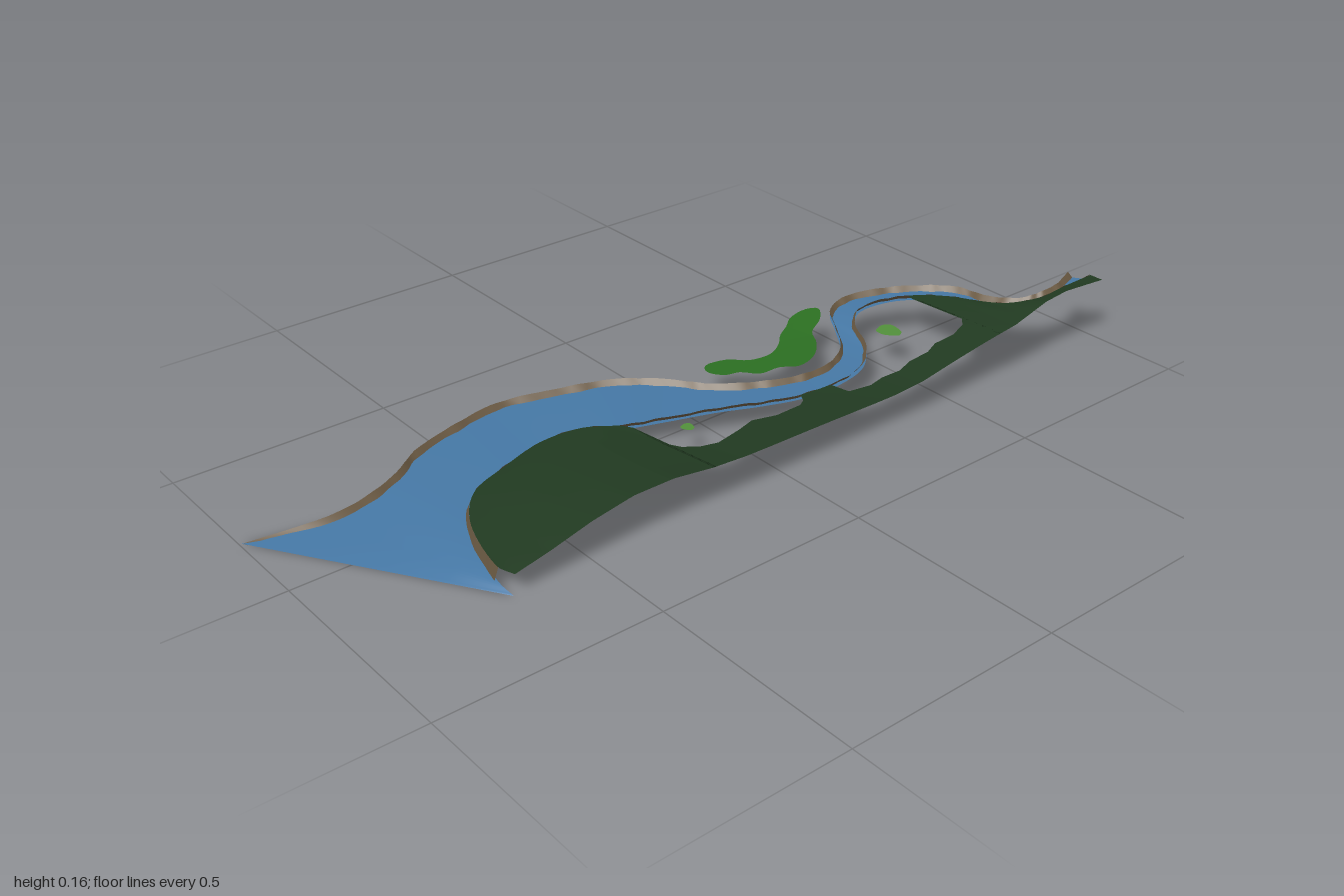
import * as THREE from 'three';

const paint = (name, color) => {
  const m = new THREE.MeshStandardMaterial({ color, side: THREE.DoubleSide });
  m.name = name;
  return m;
};

// River rows from source to mouth: left x, left z, right x, right z, water height
const ROWS = [
  [.205, -.97, .25, -1, .138], [.23, -.9, .25, -.9, .137], [.225, -.85, .245, -.83, .13],
  [.2, -.81, .2, -.765, .118], [.125, -.78, .135, -.745, .105], [.04, -.77, .07, -.72, .1],
  [-.025, -.72, .01, -.675, .096], [-.08, -.645, -.035, -.605, .092], [-.115, -.55, -.045, -.525, .086],
  [-.1, -.485, 0, -.47, .078], [-.035, -.44, .07, -.435, .07], [.04, -.385, .13, -.37, .064],
  [.075, -.315, .15, -.28, .06], [.07, -.235, .14, -.18, .056], [.03, -.145, .105, -.09, .053],
  [-.035, -.06, .06, 0, .05], [-.12, 0, .015, .115, .047], [-.195, .085, -.02, .2, .045],
  [-.245, .2, -.07, .265, .04], [-.285, .335, -.085, .36, .035], [-.27, .45, -.05, .48, .032],
  [-.235, .575, -.01, .575, .028], [-.18, .665, .08, .645, .024], [-.15, .8, .24, .69, .012],
  [-.2, .995, .285, .685, 0],
];
const LAST = ROWS.length - 1;
const curve = (xi, zi) => new THREE.CatmullRomCurve3(ROWS.map(r => new THREE.Vector3(r[xi], r[4], r[zi])));
const leftEdge = curve(0, 1), rightEdge = curve(2, 3);

// Piecewise linear lookup in [key, value] pairs
function lookup(pairs, k) {
  if (k <= pairs[0][0]) return pairs[0][1];
  for (let i = 1; i < pairs.length; i++) {
    const [a, va] = pairs[i - 1], [b, vb] = pairs[i];
    if (k <= b) return va + (vb - va) * (k - a) / (b - a || 1);
  }
  return pairs[pairs.length - 1][1];
}

// Surface through rows of points; rows run towards +z, columns towards +x
function sheet(rows) {
  const cols = rows[0].length, index = [];
  for (let i = 0; i < rows.length - 1; i++) {
    for (let j = 0; j < cols - 1; j++) {
      const a = i * cols + j, b = a + cols;
      index.push(a, b, a + 1, a + 1, b, b + 1);
    }
  }
  const g = new THREE.BufferGeometry();
  g.setAttribute('position', new THREE.Float32BufferAttribute(rows.flat().flatMap(p => [p.x, p.y, p.z]), 3));
  g.setIndex(index);
  g.computeVertexNormals();
  return g;
}

const wobble = t => Math.sin(t * 190) * .5 + Math.sin(t * 317 + 1) * .3 + Math.sin(t * 83 + 2) * .2;
const bankRise = y => Math.max(.012, .046 - y);

// Strip from the water up to the ground on one side of the river
function bankGeometry(side, tEnd) {
  const rows = [], n = 170;
  for (let i = 0; i <= n; i++) {
    const t = tEnd * i / n;
    const l = leftEdge.getPoint(t), r = rightEdge.getPoint(t);
    const edge = side < 0 ? l : r;
    const inward = r.clone().sub(l).setY(0).normalize().multiplyScalar(-side);
    const foot = edge.clone().addScaledVector(inward, .012 + .003 * wobble(t));
    foot.y -= .001;
    const top = edge.clone().addScaledVector(inward, .002 * wobble(t + .3));
    const fade = Math.min(1, (1 - t) * LAST);
    top.y += side < 0 ? .012 * fade + .002 * wobble(t) * fade : bankRise(edge.y) + .001 * wobble(t);
    rows.push(side < 0 ? [top, foot] : [foot, top]);
  }
  return sheet(rows);
}

// Ground height: from the right bank's top up to the straight outer border
const OUTER = .285;
const BORDER = [
  [-1, .15], [-.87, .16], [-.8, .154], [-.7, .127], [-.6, .115], [-.5, .1], [-.4, .083], [-.3, .078],
  [-.1, .083], [.1, .086], [.2, .093], [.3, .107], [.4, .107], [.5, .09], [.6, .064], [.69, .045],
];
const shore = rightEdge.getPoints(200).filter(p => p.x < .25 || p.z < .6);
const shoreX = shore.map(p => [p.z, p.x]);
const shoreY = shore.map(p => [p.z, p.y + bankRise(p.y)]);
function groundHeight(x, z) {
  const x0 = lookup(shoreX, z);
  const s = THREE.MathUtils.clamp((x - x0) / Math.max(.02, OUTER - x0), 0, 1);
  return THREE.MathUtils.lerp(lookup(shoreY, z), lookup(BORDER, z), s);
}

// Inner borders of the two clearings, as [x, z]
const UPPER_CLEARING = [
  [.01, -.645], [.045, -.652], [.09, -.651], [.14, -.65], [.17, -.645], [.19, -.625], [.205, -.58], [.2, -.525],
  [.212, -.49], [.205, -.44], [.214, -.4], [.208, -.35], [.215, -.31], [.203, -.255], [.155, -.25],
];
const LOWER_CLEARING = [
  [.14, -.17], [.165, -.155], [.177, -.135], [.18, -.065], [.162, -.01], [.178, .04],
  [.195, .11], [.185, .15], [.16, .18], [.11, .198], [.05, .195], [.01, .19], [-.015, .2],
];
function forestGeometry() {
  const along = (a, b) => shore.filter(p => p.z > a && p.z < b).map(p => [p.x, p.z]);
  const inner = [
    ...along(-1.01, -.65), ...UPPER_CLEARING, ...along(-.245, -.175), ...LOWER_CLEARING, ...along(.205, .7),
  ];
  const cols = 10;
  return sheet(inner.map(([x, z], i) => {
    const row = [];
    const zOut = Math.min(z, .68);
    for (let j = 0; j <= cols; j++) {
      const s = j / cols, px = x + (OUTER - x) * s, pz = z + (zOut - z) * s;
      row.push(new THREE.Vector3(px, groundHeight(px, pz), pz));
    }
    return row;
  }));
}

// Smooth outlined patch laid on a height rule
function patchGeometry(points, height) {
  const outline = new THREE.CatmullRomCurve3(points.map(([x, z]) => new THREE.Vector3(x, -z, 0)), true);
  const shape = new THREE.Shape(outline.getPoints(points.length * 4).slice(0, -1).map(p => new THREE.Vector2(p.x, p.y)));
  const g = new THREE.ShapeGeometry(shape).rotateX(-Math.PI / 2);
  const p = g.attributes.position;
  for (let i = 0; i < p.count; i++) p.setY(i, height(p.getX(i), p.getZ(i)));
  g.computeVertexNormals();
  return g;
}
function blob(cx, cz, rx, rz) {
  return Array.from({ length: 9 }, (_, i) => {
    const a = i / 9 * Math.PI * 2, k = 1 + .1 * Math.sin(a * 3 + 1);
    return [cx + Math.cos(a) * rx * k, cz - Math.sin(a) * rz * k];
  });
}

export function createModel() {
  const group = new THREE.Group();
  const water = paint('water blue', 0x4577a4);
  const earth = paint('bank brown', 0x6b5a43);
  const forest = paint('forest green', 0x213a21);
  const meadow = paint('meadow green', 0x2b6e21);
  const grass = paint('light grass green', 0x528f3a);
  const add = (name, geometry, material) => {
    const mesh = new THREE.Mesh(geometry, material);
    mesh.name = name;
    group.add(mesh);
  };

  // Water surface
  const rows = [];
  for (let i = 0; i <= 150; i++) {
    const l = leftEdge.getPoint(i / 150), r = rightEdge.getPoint(i / 150);
    rows.push([0, .25, .5, .75, 1].map(s => l.clone().lerp(r, s)));
  }
  add('river', sheet(rows), water);

  // Banks
  add('leftHandBank', bankGeometry(-1, 1), earth);
  add('rightHandBank', bankGeometry(1, (LAST - .9) / LAST), earth);

  // Wooded slope with two clearings
  add('forestSlope', forestGeometry(), forest);

  // Meadow beside the bend
  const meadowOutline = [
    [-.14, -.44], [-.12, -.463], [-.082, -.435], [-.055, -.385], [-.013, -.36], [.03, -.31], [.04, -.257],
    [.015, -.22], [.008, -.17], [-.028, -.14], [-.04, -.108], [-.077, -.087], [-.103, -.103], [-.092, -.156],
    [-.055, -.193], [-.045, -.246], [-.066, -.29], [-.098, -.325], [-.119, -.362], [-.14, -.395],
  ];
  add('meadow', patchGeometry(meadowOutline, (x, z) => lookup([[-.46, .09], [-.36, .074], [-.09, .064]], z)), meadow);

  // Small grass islands in the clearings
  add('upperGrassPatch', patchGeometry(blob(.06, -.52, .031, .026), () => .083), grass);
  add('lowerGrassPatch', patchGeometry(blob(.088, .105, .015, .014), () => .066), grass);
  return group;
}
